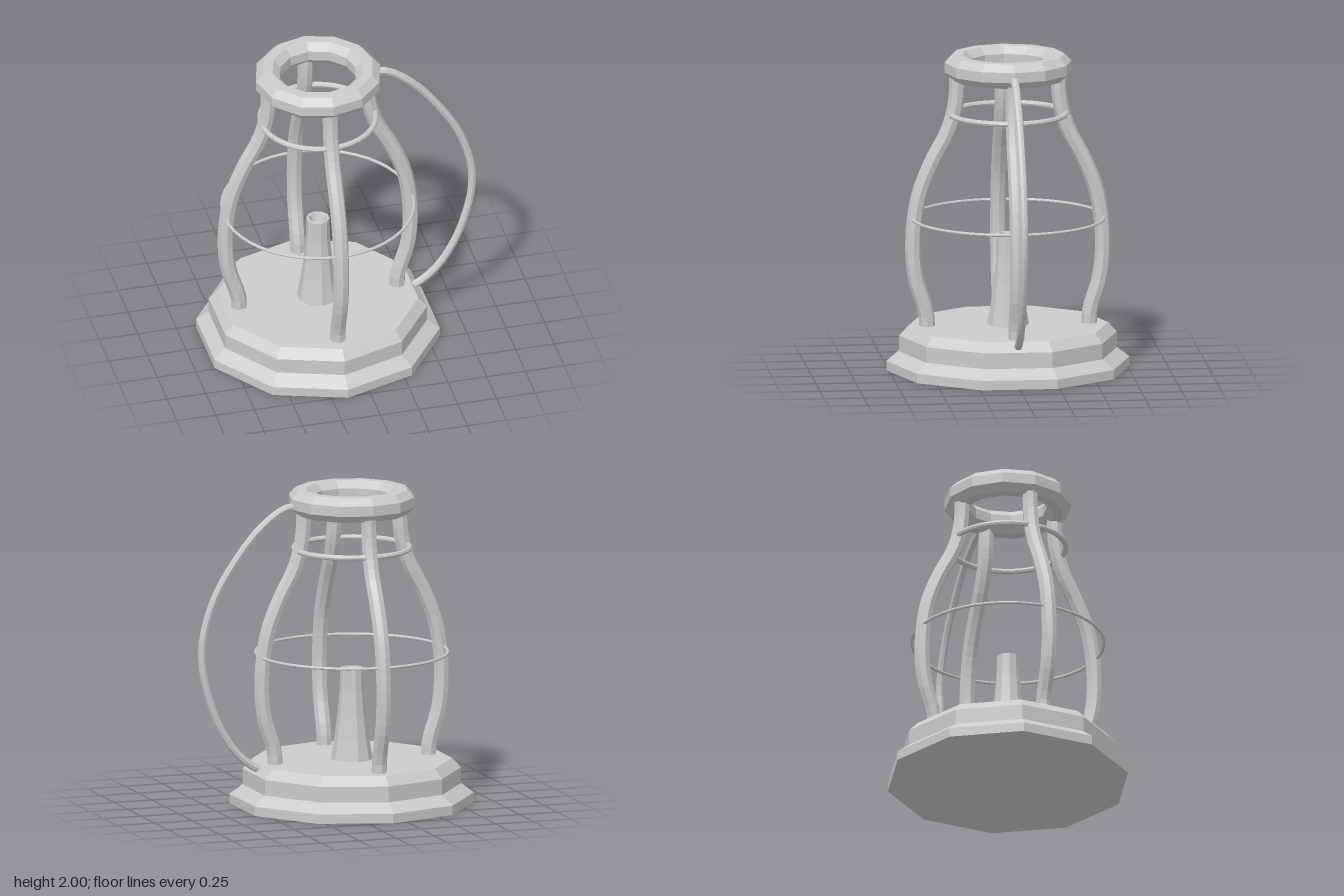
import * as THREE from 'three';

const material = new THREE.MeshStandardMaterial({ color: 0xcccccc, flatShading: true, side: THREE.DoubleSide });

function add(parent, name, geometry) {
  const mesh = new THREE.Mesh(geometry, material);
  mesh.name = name;
  parent.add(mesh);
  return mesh;
}

// Revolved part from [radius, height] pairs
function lathe(points, sides) {
  return new THREE.LatheGeometry(points.map(([r, y]) => new THREE.Vector2(r, y)), sides);
}

// Round bar along a smooth path in the xy plane, closed at both ends
function bar(parent, name, points, radius, segments) {
  const group = new THREE.Group();
  group.name = name;
  const curve = new THREE.CatmullRomCurve3(points.map(([x, y]) => new THREE.Vector3(x, y, 0)));
  add(group, name + 'Tube', new THREE.TubeGeometry(curve, segments, radius, 8));
  for (const t of [0, 1]) {
    const cap = add(group, name + 'End', new THREE.CircleGeometry(radius, 8));
    const outward = curve.getTangent(t).multiplyScalar(t ? 1 : -1);
    cap.position.copy(curve.getPoint(t));
    cap.quaternion.setFromUnitVectors(new THREE.Vector3(0, 0, 1), outward);
  }
  parent.add(group);
  return group;
}

export function createModel() {
  const model = new THREE.Group();
  model.name = 'lantern';

  // The body's axis is offset so that body plus handle is centred
  const body = new THREE.Group();
  body.name = 'body';
  body.position.x = -0.15;
  model.add(body);

  // Stepped ten-sided base
  add(body, 'base', lathe([
    [0, 0], [0.765, 0], [0.765, 0.06], [0.685, 0.12], [0.685, 0.22], [0.63, 0.28], [0, 0.28],
  ], 10));

  // Flared burner with a shallow dish on top
  add(body, 'burner', lathe([
    [0.132, 0.28], [0.108, 0.42], [0.09, 0.56], [0.076, 0.72], [0.073, 0.86],
    [0.058, 0.86], [0.042, 0.81], [0, 0.81],
  ], 10));

  // Four curved cage legs
  const legPath = [
    [0.51, 0.27], [0.515, 0.36], [0.58, 0.58], [0.597, 0.83], [0.56, 1.11],
    [0.475, 1.33], [0.385, 1.5], [0.342, 1.63], [0.322, 1.76], [0.32, 1.88],
  ];
  for (let i = 0; i < 4; i++) {
    bar(body, 'leg', legPath, 0.05, 24).rotation.y = i * Math.PI / 2;
  }

  // Thin hoops around the cage
  for (const [name, radius, tube, y] of [['lowerHoop', 0.602, 0.01, 0.96], ['upperHoop', 0.362, 0.018, 1.622]]) {
    const hoop = add(body, name, new THREE.TorusGeometry(radius, tube, 8, 48));
    hoop.rotation.x = Math.PI / 2;
    hoop.position.y = y;
  }

  // Thick faceted top ring, octagonal in section
  const section = [];
  for (let i = 0; i <= 8; i++) {
    const a = (i + 0.5) * Math.PI / 4;
    section.push([0.322 + 0.084 * Math.cos(a), 1.922 + 0.084 * Math.sin(a)]);
  }
  add(body, 'topRing', lathe(section, 12));

  // Bowed side handle
  bar(model, 'handle', [
    [0.22, 1.905], [0.3, 1.895], [0.47, 1.77], [0.63, 1.575], [0.755, 1.37], [0.83, 1.15],
    [0.846, 1.02], [0.835, 0.87], [0.757, 0.6], [0.65, 0.405], [0.55, 0.3], [0.46, 0.245],
  ], 0.025, 32);

  return model;
}
